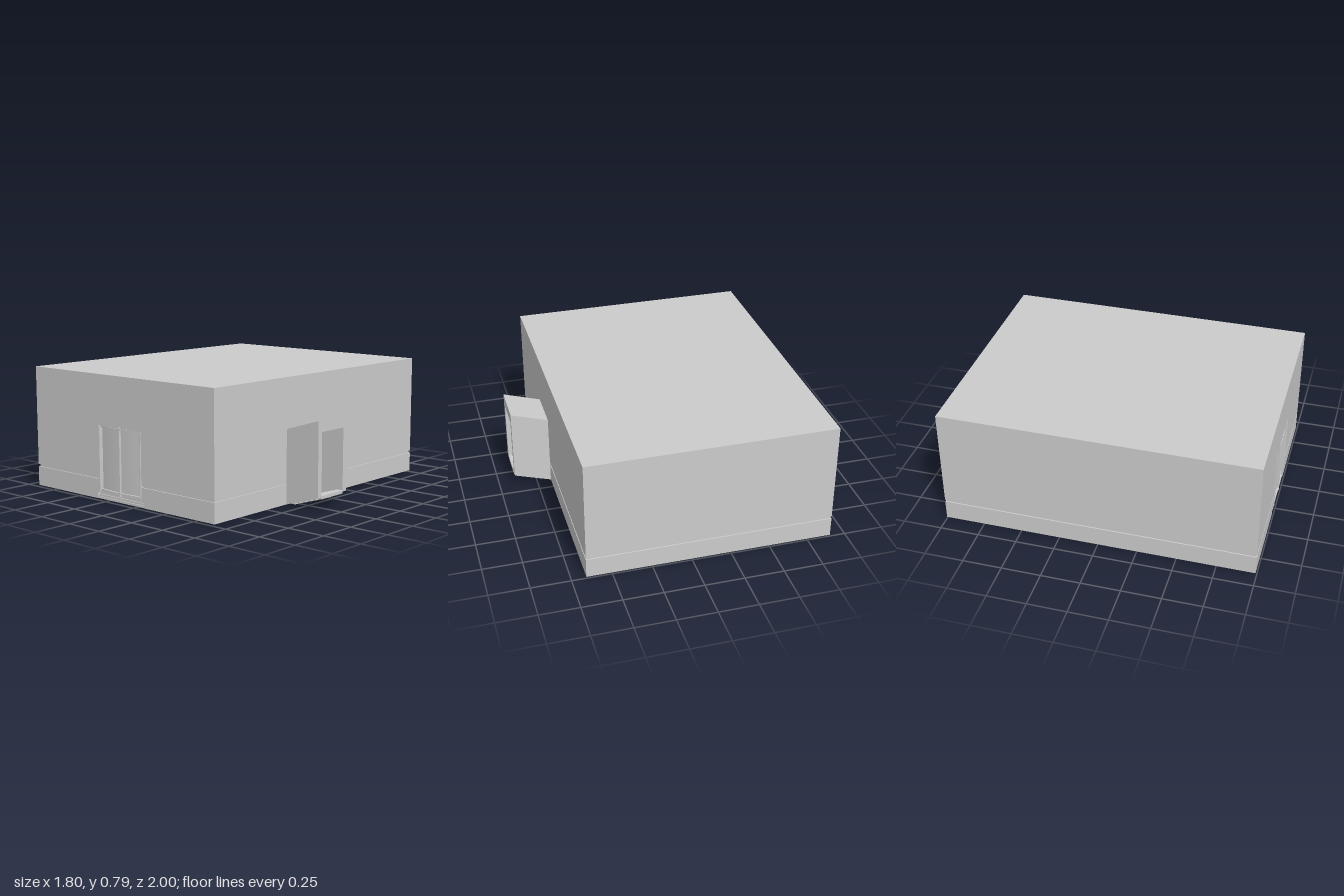
import * as THREE from 'three';

const FRONT = 0.993, BACK = -1, LEFT = 0.66, RIGHT = -0.9;
const DOOR_X = -0.12, DOOR_HALF = 0.185;

export function createModel() {
  const model = new THREE.Group();
  const mat = new THREE.MeshStandardMaterial({ color: 0xcccccc, flatShading: true });

  const add = (name, geo, parent = model) => {
    const mesh = new THREE.Mesh(geo, mat);
    mesh.name = name;
    parent.add(mesh);
    return mesh;
  };
  const group = (name) => {
    const g = new THREE.Group();
    g.name = name;
    model.add(g);
    return g;
  };
  const box = (name, x0, x1, y0, y1, z0, z1, parent) =>
    add(name, new THREE.BoxGeometry(x1 - x0, y1 - y0, z1 - z0), parent)
      .position.set((x0 + x1) / 2, (y0 + y1) / 2, (z0 + z1) / 2);
  const shape = (pts) => new THREE.Shape(pts.map(([x, y]) => new THREE.Vector2(x, y)));

  // Extrude a plan outline of [x, z] points between two heights
  const plan = (name, pts, y0, y1, parent) => {
    const geo = new THREE.ExtrudeGeometry(shape(pts.map(([x, z]) => [x, -z])),
      { depth: y1 - y0, bevelEnabled: false });
    geo.rotateX(-Math.PI / 2).translate(0, y0, 0);
    return add(name, geo, parent);
  };

  // Extrude a side outline of [x, y] points along z
  const side = (name, pts, z0, z1, parent) => {
    const geo = new THREE.ExtrudeGeometry(shape(pts), { depth: z1 - z0, bevelEnabled: false });
    return add(name, geo.translate(0, 0, z0), parent);
  };

  // Building layers; the notch is the doorway recess in the front
  const building = group('building');
  const layer = (name, y0, y1, inset, notch) => {
    const l = RIGHT + inset, r = LEFT - inset, f = FRONT - inset, b = BACK + inset;
    const pts = [[l, b], [l, f]];
    if (notch) {
      const [n0, n1] = notch;
      pts.push([n0, f], [n0, 0.96], [n1, 0.96], [n1, f]);
    }
    pts.push([r, f], [r, b]);
    plan(name, pts, y0, y1, building);
  };
  const doorway = [DOOR_X - DOOR_HALF, DOOR_X + DOOR_HALF];
  const stepway = [-0.325, 0.08];
  layer('base', 0.01, 0.05, 0, stepway);
  layer('plinth', 0.05, 0.135, 0, doorway);
  layer('groove', 0.135, 0.15, 0.008, doorway);
  layer('walls', 0.15, 0.47, 0, doorway);
  layer('roofBlock', 0.47, 0.79, 0, null);

  // Entrance steps inside the recess
  const entrance = group('entrance');
  for (let i = 0; i < 3; i++) {
    box('entranceStep', stepway[0], stepway[1], 0.01 + i * 0.0133, 0.01 + (i + 1) * 0.0133,
      0.955, 0.99 - i * 0.007, entrance);
  }
  box('threshold', doorway[0], doorway[1], 0.05, 0.065, 0.955, 0.985, entrance);

  // Slightly bowed double door
  const bowed = (name, x0, x1, y0, y1, out) => {
    const pts = [[x0, 0.955]];
    for (let i = 0; i <= 8; i++) {
      const x = x0 + (x1 - x0) * i / 8;
      const t = (x - DOOR_X) / DOOR_HALF;
      pts.push([x, 0.972 + 0.014 * (1 - t * t) + out]);
    }
    pts.push([x1, 0.955]);
    plan(name, pts, y0, y1, entrance);
  };
  bowed('doorLeaf', doorway[0], DOOR_X - 0.003, 0.065, 0.46, 0);
  bowed('doorLeaf', DOOR_X + 0.003, doorway[1], 0.065, 0.46, 0);
  bowed('topRail', doorway[0], doorway[1], 0.46, 0.47, 0.012);
  bowed('bottomRail', doorway[0], doorway[1], 0.063, 0.073, 0.012);
  for (const x of [doorway[0], doorway[1] - 0.01]) {
    box('doorJamb', x, x + 0.01, 0.063, 0.47, 0.955, 1, entrance);
  }
  box('doorMullion', DOOR_X - 0.004, DOOR_X + 0.004, 0.05, 0.485, 0.955, 1, entrance);

  // Slanted side porch: two walls, wedge roof and flight of steps
  const porch = group('porch');
  const outline = [[0.66, 0.01], [0.9, 0.085], [0.9, 0.55], [0.66, 0.475]];
  side('porchWall', outline, 0.07, 0.105, porch);
  side('porchWall', outline, 0.315, 0.35, porch);
  side('porchRoof', [[0.66, 0.472], [0.9, 0.48], [0.9, 0.55], [0.66, 0.475]], 0.105, 0.315, porch);
  const steps = 6, run = 0.24 / steps, rise = 0.075 / steps;
  for (let i = 0; i < steps; i++) {
    const x = 0.66 + i * run, y = 0.01 + i * rise;
    box('porchStep', x, x + run, y, y + 0.02, 0.105, 0.315, porch);
  }

  // Round feet under the floor
  const feet = group('feet');
  const foot = (x, z) =>
    add('foot', new THREE.CylinderGeometry(0.057, 0.057, 0.01, 16), feet).position.set(x, 0.005, z);
  for (let i = -2; i <= 2; i++) {
    foot(0.53, i * 0.428);
    foot(-0.76, i * 0.428);
  }
  foot(DOOR_X, -0.856);

  return model;
}
